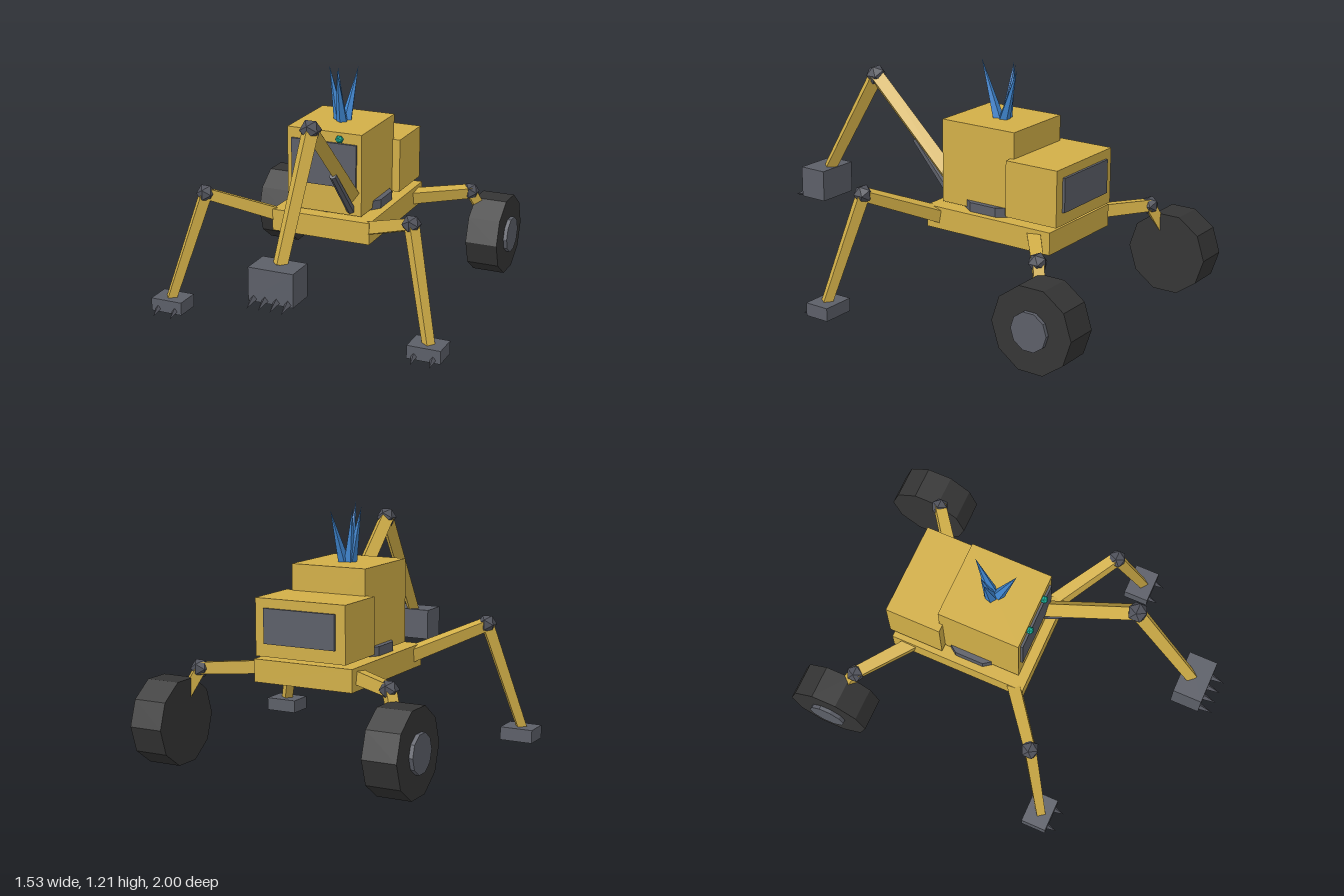
import * as THREE from 'three';

const mat = (name, color) => {
  const m = new THREE.MeshStandardMaterial({ color, flatShading: true });
  m.name = name;
  return m;
};

export function createModel() {
  const yellow = mat('yellow paint', 0xd2af48);
  const steel = mat('steel', 0x5c5f68);
  const joint = mat('joint metal', 0x50525b);
  const rubber = mat('rubber', 0x353535);
  const blue = mat('crystal blue', 0x3f86d0);
  const teal = mat('lamp teal', 0x18b098);

  const root = new THREE.Group();
  root.name = 'walkingDigger';
  const V = (x, y, z) => new THREE.Vector3(x, y, z);

  const add = (name, geometry, material, pos, parent = root) => {
    const mesh = new THREE.Mesh(geometry, material);
    mesh.name = name;
    mesh.position.copy(pos);
    parent.add(mesh);
    return mesh;
  };
  // Box given by its min and max corners
  const box = (name, material, a, b, parent) =>
    add(name, new THREE.BoxGeometry(b[0] - a[0], b[1] - a[1], b[2] - a[2]), material,
      V((a[0] + b[0]) / 2, (a[1] + b[1]) / 2, (a[2] + b[2]) / 2), parent);
  // Tapered prism running from a to b
  const beam = (name, material, a, b, ra, rb, sides = 4, parent = root) => {
    const dir = b.clone().sub(a);
    const geometry = new THREE.CylinderGeometry(rb, ra, dir.length(), sides);
    const mesh = add(name, geometry, material, a.clone().add(b).multiplyScalar(0.5), parent);
    mesh.quaternion.setFromUnitVectors(V(0, 1, 0), dir.normalize());
    return mesh;
  };
  const ball = (name, pos, r, material, parent) =>
    add(name, new THREE.IcosahedronGeometry(r, 0), material, pos, parent);

  // Chassis, turntable and cab
  box('chassis', yellow, [-0.26, 0.395, -0.605], [0.26, 0.505, 0.105]);
  add('turntable', new THREE.CylinderGeometry(0.236, 0.236, 0.05, 10), steel, V(0, 0.525, -0.2));
  box('cab', yellow, [-0.197, 0.515, -0.36], [0.197, 0.928, 0.056]);
  box('engineHousing', yellow, [-0.237, 0.525, -0.625], [0.237, 0.8, -0.342]);
  box('windscreen', steel, [-0.172, 0.655, 0.05], [0.172, 0.875, 0.068]);
  box('rearGrille', steel, [-0.187, 0.588, -0.638], [0.187, 0.755, -0.62]);
  for (const s of [-1, 1]) ball('lamp', V(s * 0.085, 0.897, 0.066), 0.021, teal);

  // Crystal spikes on the roof
  const spikes = [
    [0.01, -0.14, 0.02, 1.21, -0.047],
    [-0.015, -0.165, -0.075, 1.195, -0.17],
    [-0.01, -0.17, -0.042, 1.185, -0.2],
    [0.015, -0.175, 0.04, 1.18, -0.265],
  ];
  for (const [x, z, tx, ty, tz] of spikes) {
    beam('crystalSpike', blue, V(x, 0.915, z), V(tx, ty, tz), 0.03, 0, 5);
  }

  // Digging arm
  const arm = new THREE.Group();
  arm.name = 'diggingArm';
  root.add(arm);
  const ax = 0.14;
  const elbow = V(ax, 1.07, 0.51);
  beam('boom', yellow, V(ax, 0.6, 0.02), elbow, 0.046, 0.044, 4, arm);
  beam('boomPiston', steel, V(ax, 0.54, 0.05), V(ax, 0.78, 0.265), 0.022, 0.018, 6, arm);
  ball('elbow', elbow, 0.052, joint, arm);
  beam('stick', yellow, elbow, V(ax, 0.53, 0.835), 0.042, 0.036, 4, arm);
  box('bucket', steel, [0.03, 0.385, 0.785], [0.25, 0.543, 0.932], arm);
  for (let i = 0; i < 4; i++) {
    const x = 0.056 + i * 0.056;
    beam('bucketTooth', joint, V(x, 0.398, 0.925), V(x, 0.376, 1.0), 0.018, 0, 4, arm);
  }

  for (const s of [-1, 1]) {
    // Front walking leg with clawed foot
    const leg = new THREE.Group();
    leg.name = s > 0 ? 'leftFrontLeg' : 'rightFrontLeg';
    root.add(leg);
    const knee = V(s * 0.542, 0.6, 0.27);
    beam('thigh', yellow, V(s * 0.22, 0.452, 0.035), knee, 0.045, 0.038, 4, leg);
    ball('knee', knee, 0.048, joint, leg);
    beam('shin', yellow, knee, V(s * 0.685, 0.065, 0.393), 0.038, 0.031, 4, leg);
    const fx = s * 0.682;
    box('foot', steel, [fx - 0.084, 0.008, 0.323], [fx + 0.084, 0.074, 0.453], leg);
    for (const t of [-1, 1]) {
      const x = fx + t * 0.047;
      beam('footClaw', joint, V(x, 0.025, 0.448), V(x, 0, 0.502), 0.016, 0, 4, leg);
    }

    // Rear leg with wheel
    const rear = new THREE.Group();
    rear.name = s > 0 ? 'leftRearLeg' : 'rightRearLeg';
    root.add(rear);
    const ankle = V(s * 0.498, 0.456, -0.7);
    beam('rearStrut', yellow, V(s * 0.215, 0.452, -0.49), ankle, 0.045, 0.04, 4, rear);
    ball('rearJoint', ankle, 0.047, joint, rear);
    beam('wheelFork', yellow, ankle, V(s * 0.59, 0.24, -0.785), 0.036, 0.032, 4, rear);
    const tyre = add('tyre', new THREE.CylinderGeometry(0.209, 0.209, 0.168, 10), rubber,
      V(s * 0.602, 0.215, -0.791), rear);
    tyre.rotation.z = Math.PI / 2;
    const hub = add('hub', new THREE.CylinderGeometry(0.094, 0.094, 0.1, 10), steel,
      V(s * 0.655, 0.215, -0.791), rear);
    hub.rotation.z = Math.PI / 2;
  }
  return root;
}
